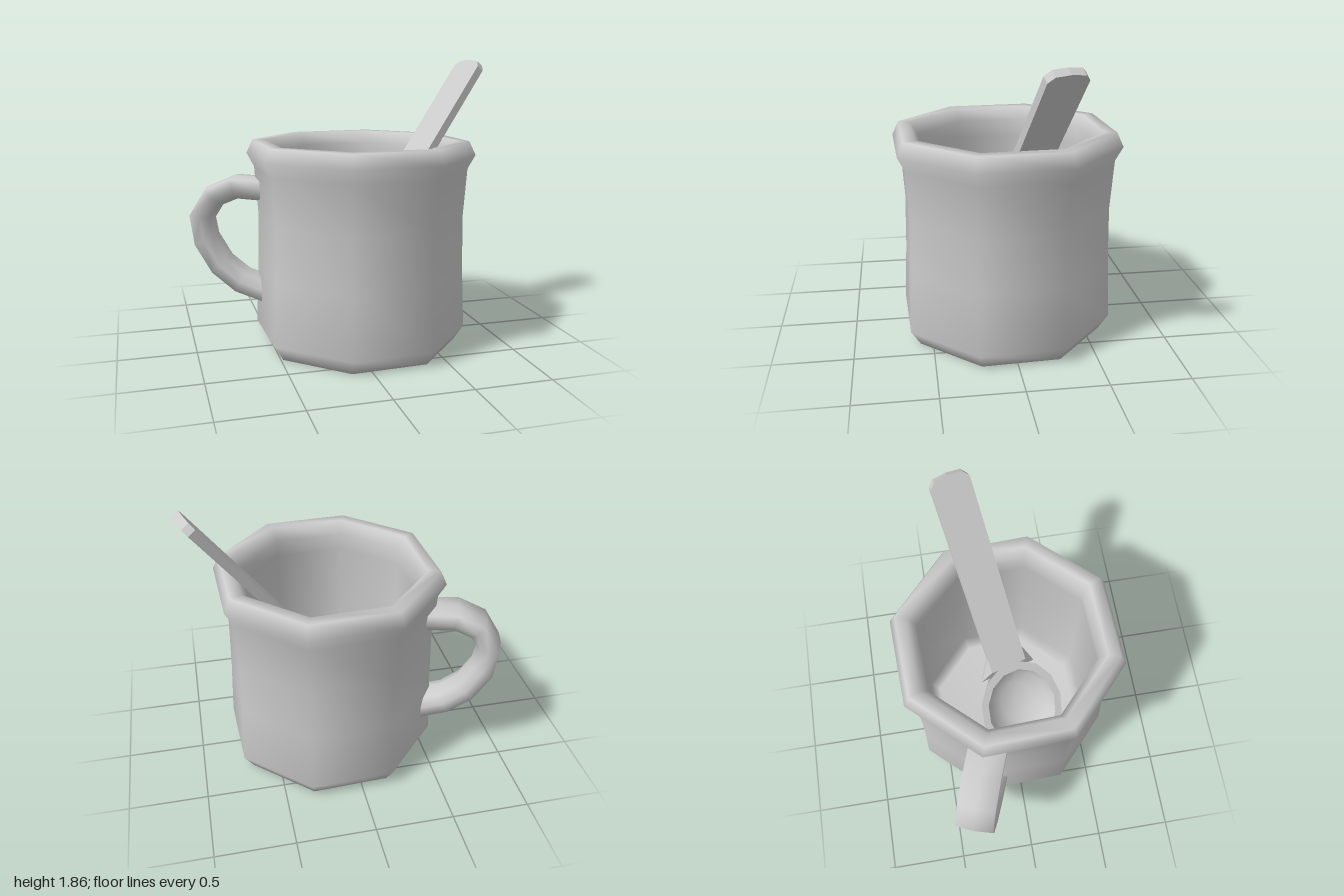
import * as THREE from 'three';
import { toCreasedNormals, mergeVertices } from 'three/addons/utils/BufferGeometryUtils.js';
import { ConvexGeometry } from 'three/addons/geometries/ConvexGeometry.js';

const material = new THREE.MeshStandardMaterial({ color: 0xcccccc });
const V2 = (p) => new THREE.Vector2(p[0], p[1]);

function part(name, geometry) {
  const mesh = new THREE.Mesh(geometry, material);
  mesh.name = name;
  return mesh;
}

// Sweep a closed cross-section (outward, sideways) along a path in the xy plane
function sweep(path, section) {
  const pos = [], index = [], n = section.length;
  path.forEach((p, i) => {
    const a = path[Math.max(i - 1, 0)], b = path[Math.min(i + 1, path.length - 1)];
    const t = new THREE.Vector2(b[0] - a[0], b[1] - a[1]).normalize();
    for (const [out, side] of section) pos.push(p[0] - t.y * out, p[1] + t.x * out, side);
  });
  for (let i = 0; i < path.length - 1; i++) {
    for (let j = 0; j < n; j++) {
      const a = i * n + j, b = i * n + (j + 1) % n;
      index.push(a, b, a + n, b, b + n, a + n);
    }
  }
  const g = new THREE.BufferGeometry();
  g.setAttribute('position', new THREE.Float32BufferAttribute(pos, 3));
  g.setIndex(index);
  g.computeVertexNormals();
  return g;
}

export function createModel() {
  const model = new THREE.Group();
  model.name = 'mugWithSpoon';

  // Mug: eight-sided hollow body with a thick rolled rim
  const mug = new THREE.Group();
  mug.name = 'mug';
  mug.position.x = 0.095;
  const profile = [
    [0, 0], [0.64, 0], [0.705, 0.1], [0.687, 0.5], [0.68, 0.85], [0.703, 1.17],
    [0.752, 1.26], [0.71, 1.35], [0.63, 1.35], [0.58, 1.27], [0.59, 1.15],
    [0.59, 0.85], [0.59, 0.15], [0.53, 0.06], [0, 0.06],
  ].map(V2);
  const body = part('mugBody', new THREE.LatheGeometry(profile, 8));
  body.rotation.y = THREE.MathUtils.degToRad(24.8);
  mug.add(body);

  // Mug handle: wide loop, flat outside and rounded inside
  const path = [
    [0.62, 1.015], [0.83, 1.03], [0.97, 0.97], [1.05, 0.84],
    [1.025, 0.68], [0.925, 0.51], [0.79, 0.40], [0.62, 0.34],
  ];
  const section = [
    [0.07, 0.12], [0.0, 0.122], [-0.055, 0.085], [-0.08, 0],
    [-0.055, -0.085], [0.0, -0.122], [0.07, -0.12], [0.08, 0],
  ].reverse();
  const handle = part('mugHandle', sweep(path, section));
  handle.material = material.clone();
  handle.material.side = THREE.DoubleSide;
  handle.rotation.y = THREE.MathUtils.degToRad(160);
  mug.add(handle);
  model.add(mug);

  // Spoon: local x runs up the handle, z faces out of the bowl
  const spoon = new THREE.Group();
  spoon.name = 'spoon';
  const along = new THREE.Vector3(0.36, 0.5, -0.1).normalize();
  const across = new THREE.Vector3(-0.1, 0, -0.36).normalize();
  const facing = along.clone().cross(across);
  spoon.quaternion.setFromRotationMatrix(new THREE.Matrix4().makeBasis(along, across, facing));
  spoon.position.set(0.96, 1.83, -0.21);

  // Flat handle with clipped corners at the tip
  const outline = new THREE.Shape([
    [-1.4, -0.125], [-0.03, -0.125], [0.01, -0.09], [0.02, 0],
    [0.01, 0.09], [-0.03, 0.125], [-1.4, 0.125],
  ].map(V2));
  const stem = new THREE.ExtrudeGeometry(outline, { depth: 0.055, bevelEnabled: false });
  stem.translate(0, 0, -0.028);
  spoon.add(part('spoonHandle', stem));

  // Oval hollow bowl
  const bowlProfile = [
    [0, -0.17], [0.14, -0.15], [0.25, -0.08], [0.3, 0.027],
    [0.25, 0.027], [0.21, -0.05], [0.12, -0.1], [0, -0.12],
  ].map(V2);
  const bowl = new THREE.LatheGeometry(bowlProfile, 14);
  bowl.rotateX(Math.PI / 2);
  bowl.scale(1.37, 1, 1);
  bowl.translate(-1.79, 0, 0);
  bowl.deleteAttribute('uv');
  bowl.deleteAttribute('normal');
  spoon.add(part('spoonBowl', toCreasedNormals(mergeVertices(bowl), 0.8)));

  // Flared neck joining handle and bowl underneath
  const neck = [];
  for (const s of [-1, 1]) {
    neck.push(
      new THREE.Vector3(-1.28, s * 0.12, 0.02), new THREE.Vector3(-1.28, s * 0.12, -0.027),
      new THREE.Vector3(-1.4, s * 0.12, 0.02),
      new THREE.Vector3(-1.5, s * 0.2, -0.07), new THREE.Vector3(-1.5, s * 0.18, -0.12),
    );
  }
  spoon.add(part('spoonNeck', new ConvexGeometry(neck)));
  model.add(spoon);

  return model;
}
